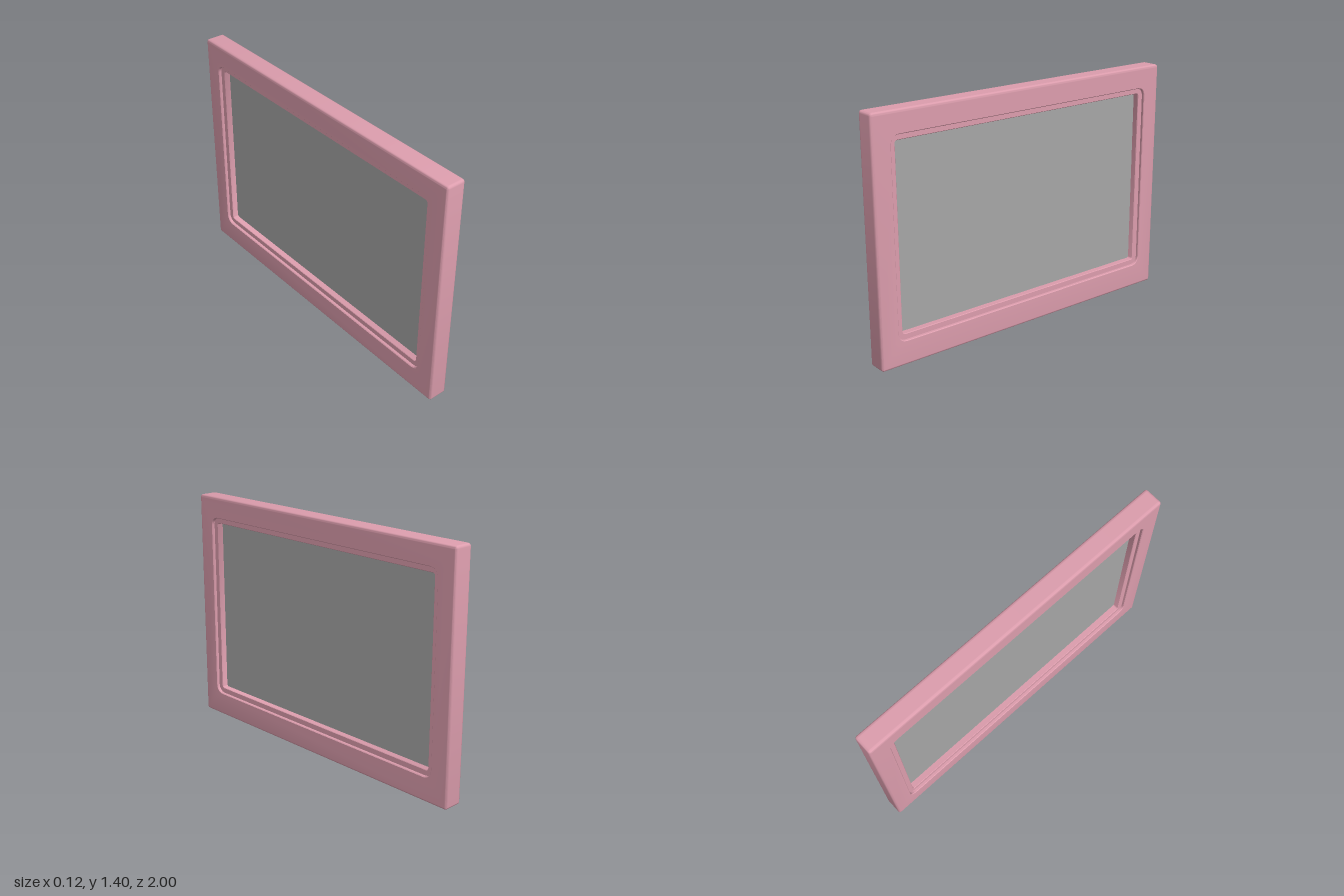
import * as THREE from 'three';
import { toCreasedNormals } from 'three/addons/utils/BufferGeometryUtils.js';

const FRAME_Y = 0.698; // centre height of the frame
const PANE_Y = 0.705; // centre height of the opening
const CORNER_STEPS = 4;

// Rounded rectangle in the z-y plane at depth x
function ring(x, halfZ, halfY, radius, cy) {
  const points = [];
  for (let corner = 0; corner < 4; corner++) {
    const sz = corner === 0 || corner === 3 ? 1 : -1;
    const sy = corner < 2 ? 1 : -1;
    for (let i = 0; i <= CORNER_STEPS; i++) {
      const a = (corner + i / CORNER_STEPS) * Math.PI / 2;
      points.push([
        x,
        cy + sy * (halfY - radius) + radius * Math.sin(a),
        sz * (halfZ - radius) + radius * Math.cos(a),
      ]);
    }
  }
  return points;
}

// Skin between successive rings
function loft(rings) {
  const n = rings[0].length;
  const index = [];
  for (let r = 0; r < rings.length - 1; r++) {
    for (let i = 0; i < n; i++) {
      const j = (i + 1) % n;
      const a = r * n + i, b = r * n + j, c = a + n, d = b + n;
      index.push(a, b, c, b, d, c);
    }
  }
  const geometry = new THREE.BufferGeometry();
  geometry.setAttribute('position', new THREE.Float32BufferAttribute(rings.flat(2), 3));
  geometry.setIndex(index);
  return toCreasedNormals(geometry, 0.6);
}

// One face of the frame, from the pane out to the outer wall; s is the side
function frameSide(s) {
  const HALF = 0.0575, EDGE = 0.014, MARGIN = 0.004;
  const opening = (x, grow) => ring(s * x, 0.855 + grow, 0.53 + grow, 0.014 + grow, PANE_Y);
  const outer = (x, inset) => ring(s * x, 1 - inset, FRAME_Y - inset, Math.max(0.002, EDGE + 0.002 - inset), FRAME_Y);
  const rings = [
    opening(0, 0),
    opening(0.037, 0),
    opening(0.04, 0.003),
    opening(0.04, 0.033),
    opening(HALF - 0.004, 0.033),
    opening(HALF, 0.037),
    outer(HALF, EDGE + MARGIN), // keeps the face flat up to its rounded edge
  ];
  for (let i = 0; i <= 4; i++) {
    const a = i / 4 * Math.PI / 2;
    rings.push(outer(HALF - EDGE * (1 - Math.cos(a)), EDGE * (1 - Math.sin(a))));
  }
  rings.push(outer(HALF - EDGE - MARGIN, 0));
  return rings;
}

export function createModel() {
  const model = new THREE.Group();
  model.name = 'window';

  const framePink = new THREE.MeshStandardMaterial({ color: 0xdc9dad });
  framePink.name = 'frame pink';
  const paneGrey = new THREE.MeshStandardMaterial({ color: 0xa6a6a6 });
  paneGrey.name = 'pane grey';

  // Frame with stepped opening, the same on both faces
  const frame = new THREE.Mesh(loft([...frameSide(1), ...frameSide(-1).reverse()]), framePink);
  frame.name = 'frame';
  model.add(frame);

  // Pane set in the middle of the frame
  const pane = new THREE.Mesh(new THREE.BoxGeometry(0.008, 1.08, 1.73), paneGrey);
  pane.name = 'pane';
  pane.position.y = PANE_Y;
  model.add(pane);

  return model;
}
